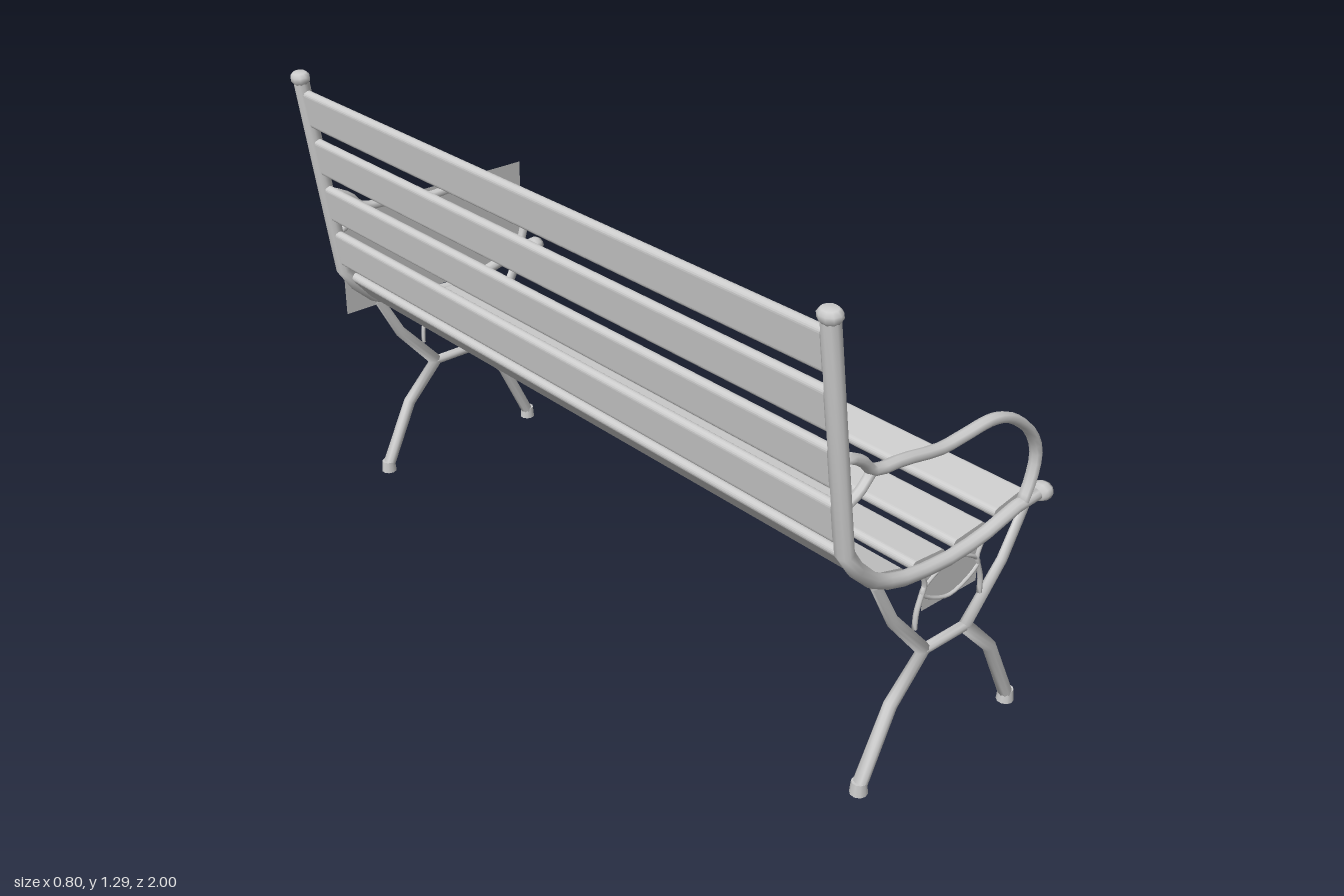
import * as THREE from 'three';

const material = new THREE.MeshStandardMaterial({ color: 0xcccccc, side: THREE.DoubleSide });
const END_Z = 0.97;

function add(parent, name, geometry) {
  const mesh = new THREE.Mesh(geometry, material);
  mesh.name = name;
  parent.add(mesh);
  return mesh;
}

// Sweeps an elliptical section along points [x, y, inPlaneRadius, zRadius], mitred at the bends.
function bar(points, sides = 10) {
  const pos = [], index = [], n = points.length;
  const dir = (a, b) => new THREE.Vector2(b[0] - a[0], b[1] - a[1]).normalize();
  points.forEach(([x, y, r, rz], i) => {
    const before = dir(points[Math.max(i - 1, 0)], points[Math.max(i, 1)]);
    const after = dir(points[Math.min(i, n - 2)], points[Math.min(i + 1, n - 1)]);
    const t = before.clone().add(after).normalize();
    const width = r / Math.max(t.dot(after), 0.5);
    for (let k = 0; k < sides; k++) {
      const a = (k / sides) * Math.PI * 2, c = Math.cos(a) * width;
      pos.push(x - t.y * c, y + t.x * c, Math.sin(a) * rz);
    }
  });
  for (let i = 0; i < n - 1; i++) {
    for (let k = 0; k < sides; k++) {
      const a = i * sides + k, b = i * sides + (k + 1) % sides;
      index.push(a, b, a + sides, b, b + sides, a + sides);
    }
  }
  const last = (n - 1) * sides;
  for (let k = 1; k < sides - 1; k++) {
    index.push(0, k + 1, k, last, last + k, last + k + 1);
  }
  const g = new THREE.BufferGeometry();
  g.setAttribute('position', new THREE.Float32BufferAttribute(pos, 3));
  g.setIndex(index);
  g.computeVertexNormals();
  return g;
}

// Smooths a list of [x, y] into a bar of constant section.
function curvedBar(points, r, rz, steps, sides = 8, closed = false) {
  const curve = new THREE.CatmullRomCurve3(points.map(([x, y]) => new THREE.Vector3(x, y, 0)), closed);
  return bar(curve.getPoints(steps).map(p => [p.x, p.y, r, rz]), sides);
}

// Bevelled end knob, lying along +y from its base
function knob(r, h) {
  const profile = [[0, 0], [r * 0.75, 0], [r, h * 0.3], [r, h * 0.7], [r * 0.7, h], [0, h]];
  return new THREE.LatheGeometry(profile.map(p => new THREE.Vector2(...p)), 10);
}

function endFrame() {
  const frame = new THREE.Group();

  // Back post running down into the curved seat rail
  add(frame, 'postAndSeatRail', bar([
    [-0.378, 1.27, 0.02, 0.025], [-0.297, 0.695, 0.02, 0.025], [-0.26, 0.64, 0.02, 0.023],
    [-0.205, 0.588, 0.019, 0.021], [-0.155, 0.562, 0.018, 0.019], [-0.1, 0.546, 0.018, 0.018],
    [-0.03, 0.537, 0.017, 0.018], [0.05, 0.533, 0.017, 0.018], [0.12, 0.538, 0.017, 0.018],
    [0.18, 0.547, 0.017, 0.018], [0.285, 0.574, 0.016, 0.018], [0.37, 0.581, 0.015, 0.018]]));
  const postCap = add(frame, 'postCap', knob(0.028, 0.031));
  postCap.scale.set(0.88, 1, 1.07);
  postCap.position.set(-0.377, 1.258, 0);
  postCap.rotation.z = 0.138;
  const railKnob = add(frame, 'railKnob', knob(0.023, 0.04));
  railKnob.scale.z = 1.25;
  railKnob.position.set(0.36, 0.58, 0);
  railKnob.rotation.z = -1.5;

  // Looping armrest and its short brace
  add(frame, 'armrest', curvedBar([
    [-0.313, 0.933], [-0.26, 0.905], [-0.225, 0.87], [-0.13, 0.859], [-0.01, 0.84], [0.07, 0.844],
    [0.15, 0.85], [0.2, 0.842], [0.25, 0.818], [0.313, 0.762], [0.341, 0.7], [0.332, 0.632],
    [0.306, 0.572]], 0.013, 0.017, 30));
  add(frame, 'armrestBrace', curvedBar(
    [[-0.303, 0.812], [-0.265, 0.83], [-0.225, 0.87]], 0.011, 0.013, 5));

  // Crossed legs joined by a short bar, each tapering upward
  for (const s of [-1, 1]) {
    const leg = [
      [0.266, 0.015, 0.017, 0.019], [0.175, 0.205, 0.017, 0.017], [0.072, 0.311, 0.018, 0.014],
      [0.19, 0.444, 0.016, 0.012], [0.255, 0.565, 0.014, 0.011]];
    add(frame, 'leg', bar(leg.map(([x, y, r, rz]) => [0.065 + s * x, y, r, rz])));
    const foot = add(frame, 'foot', new THREE.CylinderGeometry(0.019, 0.022, 0.033, 10));
    foot.position.set(0.065 + s * 0.264, 0.0165, 0);
    // Thin curled stay between leg and seat rail
    const stay = [[0.113, 0.385], [0.111, 0.43], [0.098, 0.47], [0.09, 0.495], [0.105, 0.535]];
    add(frame, 'scrollStay', curvedBar(stay.map(([x, y]) => [0.067 + s * x, y]), 0.006, 0.007, 10, 6));
  }
  add(frame, 'legCrossBar', bar([[-0.01, 0.311, 0.013, 0.014], [0.14, 0.311, 0.013, 0.014]]));

  // Oval ring under the seat
  add(frame, 'scrollRing', curvedBar(
    [[0.165, 0.478], [0.067, 0.527], [-0.031, 0.478], [0.067, 0.429]], 0.005, 0.006, 24, 6, true));
  return frame;
}

// Thin board with rounded long edges
function slatGeometry(width) {
  const t = 0.013, w = width / 2, s = new THREE.Shape();
  s.moveTo(-w + t, -t);
  s.lineTo(w - t, -t);
  s.absarc(w - t, 0, t, -Math.PI / 2, Math.PI / 2, false);
  s.lineTo(-w + t, t);
  s.absarc(-w + t, 0, t, Math.PI / 2, Math.PI * 1.5, false);
  const g = new THREE.ExtrudeGeometry(s, { depth: 1.9, bevelEnabled: false, curveSegments: 5 });
  g.translate(0, 0, -0.95);
  return g;
}

export function createModel() {
  const bench = new THREE.Group();
  bench.name = 'bench';

  for (const s of [-1, 1]) {
    const frame = endFrame();
    frame.name = s > 0 ? 'nearEndFrame' : 'farEndFrame';
    frame.position.z = s * END_Z;
    bench.add(frame);
  }

  // Slats: centre x, centre y, width, tilt
  const slats = [
    [-0.245, 0.637, 0.11, -0.87], [-0.13, 0.555, 0.108, -0.26], [0.01, 0.536, 0.11, -0.06],
    [0.15, 0.543, 0.11, 0.12], [0.29, 0.573, 0.112, 0.2]];
  for (let i = 0; i < 4; i++) {
    const y = 0.768 + i * 0.14;
    slats.push([-0.297 - (y - 0.695) * 0.141, y, 0.108, -1.431]);
  }
  slats.forEach(([x, y, width, tilt], i) => {
    const slat = add(bench, i < 5 ? 'seatSlat' : 'backSlat', slatGeometry(width));
    slat.position.set(x, y, 0);
    slat.rotation.z = tilt;
  });

  // Flat infill sheets: one under the far armrest, one behind the near ring
  const armPanel = add(bench, 'armrestPanel', new THREE.PlaneGeometry(0.63, 0.31));
  armPanel.position.set(0.017, 0.709, -END_Z);
  const ringPanel = add(bench, 'ringPanel', new THREE.PlaneGeometry(0.19, 0.105));
  ringPanel.position.set(0.067, 0.478, END_Z);

  return bench;
}
